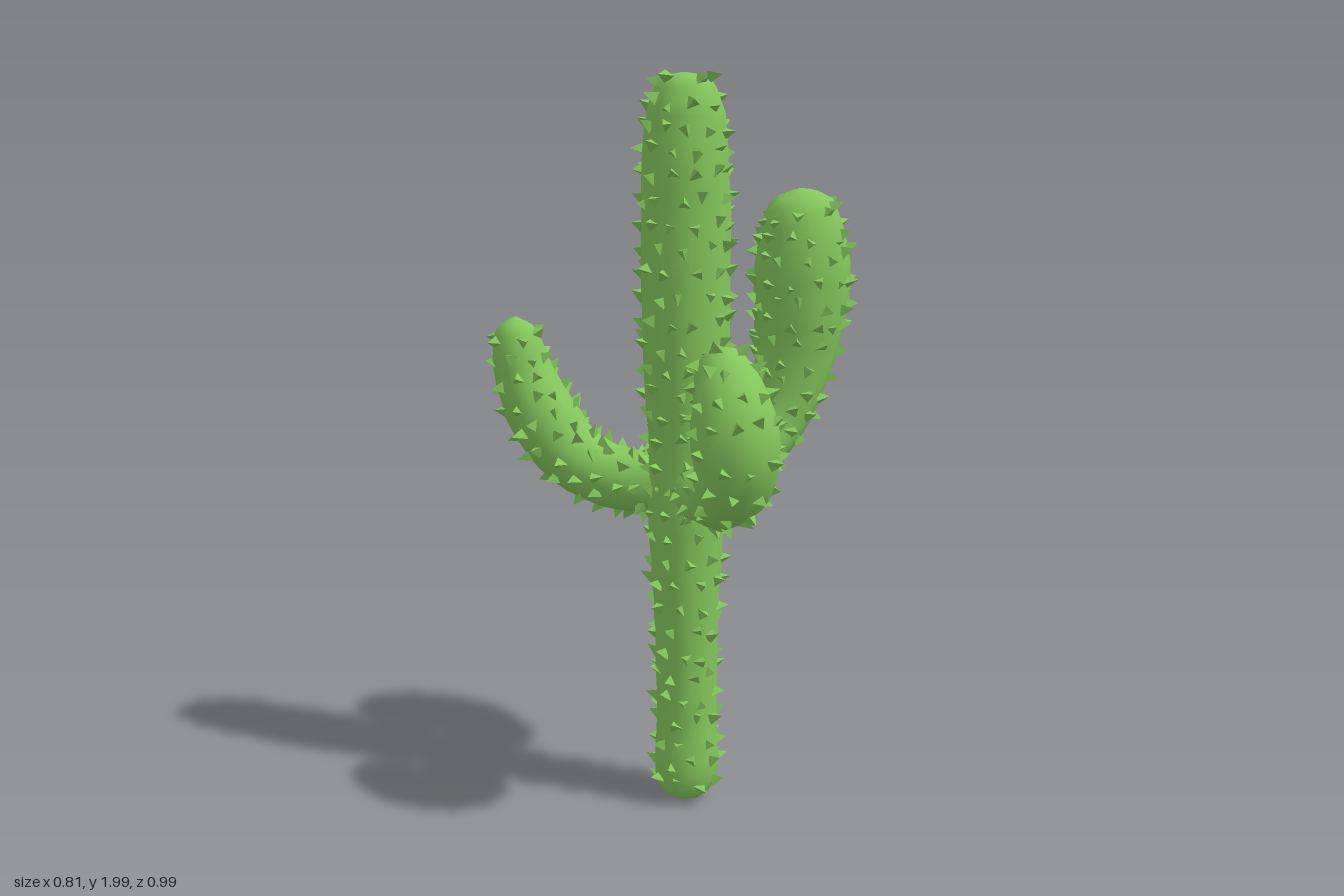
import * as THREE from 'three';
import { mergeGeometries } from 'three/addons/utils/BufferGeometryUtils.js';

const SIDES = 14;

// small seeded random generator, -1..1
let seed = 7;
function rand() {
  seed = (seed * 16807) % 2147483647;
  return (seed / 2147483647) * 2 - 1;
}

// Each limb is a list of [x, y, z, radius] stations along its centre line
const LIMBS = {
  trunk: [
    [-0.08, 0.012, 0.03, 0.02], [-0.08, 0.03, 0.03, 0.065], [-0.08, 0.1, 0.03, 0.088], [-0.08, 0.22, 0.03, 0.083],
    [-0.08, 0.4, 0.03, 0.083], [-0.08, 0.6, 0.03, 0.09], [-0.08, 0.8, 0.03, 0.1], [-0.08, 1.0, 0.03, 0.1],
    [-0.08, 1.2, 0.03, 0.11], [-0.08, 1.45, 0.03, 0.117], [-0.08, 1.7, 0.03, 0.115], [-0.08, 1.86, 0.03, 0.105],
    [-0.08, 1.94, 0.03, 0.088], [-0.08, 1.985, 0.03, 0.058], [-0.08, 1.998, 0.03, 0.004],
  ],
  leftArm: [
    [-0.1, 0.97, 0.04, 0.05], [0.0, 0.97, 0.07, 0.075], [0.1, 1.0, 0.1, 0.08], [0.18, 1.09, 0.115, 0.087],
    [0.225, 1.22, 0.125, 0.105], [0.245, 1.36, 0.13, 0.125], [0.245, 1.5, 0.135, 0.128], [0.235, 1.61, 0.14, 0.105],
    [0.225, 1.67, 0.14, 0.07], [0.22, 1.695, 0.14, 0.004],
  ],
  frontArm: [
    [-0.08, 0.95, 0.02, 0.05], [-0.11, 0.92, 0.13, 0.075], [-0.14, 0.93, 0.23, 0.083], [-0.175, 1.0, 0.32, 0.1],
    [-0.19, 1.1, 0.35, 0.11], [-0.18, 1.2, 0.32, 0.1], [-0.165, 1.275, 0.27, 0.072], [-0.155, 1.31, 0.245, 0.045],
    [-0.15, 1.33, 0.235, 0.004],
  ],
  backArm: [
    [-0.08, 0.94, 0.04, 0.05], [-0.13, 0.91, -0.06, 0.08], [-0.18, 0.92, -0.16, 0.085], [-0.235, 0.97, -0.26, 0.09],
    [-0.275, 1.07, -0.335, 0.095], [-0.3, 1.18, -0.385, 0.08], [-0.31, 1.26, -0.4, 0.07], [-0.315, 1.315, -0.405, 0.05],
    [-0.315, 1.345, -0.405, 0.004],
  ],
};

// Centre, radius and a twist-free frame at even steps along a limb
function sampleLimb(points, steps) {
  const path = new THREE.CatmullRomCurve3(points.map(p => new THREE.Vector3(p[0], p[1], p[2])), false, 'catmullrom');
  const radii = new THREE.CatmullRomCurve3(points.map(p => new THREE.Vector3(p[3], 0, 0)), false, 'catmullrom');
  const normal = new THREE.Vector3(0.31, 0.17, 0.93);
  const rings = [];
  for (let i = 0; i <= steps; i++) {
    const t = i / steps;
    const tangent = path.getTangent(t);
    normal.addScaledVector(tangent, -normal.dot(tangent)).normalize();
    rings.push({
      center: path.getPoint(t),
      radius: Math.max(0.003, radii.getPoint(t).x),
      tangent,
      normal: normal.clone(),
      binormal: tangent.clone().cross(normal),
    });
  }
  return rings;
}

function outward(ring, angle) {
  return ring.normal.clone().multiplyScalar(Math.cos(angle)).addScaledVector(ring.binormal, Math.sin(angle));
}

// Fleshy skin: rings of slightly uneven vertices
function skinGeometry(rings) {
  const position = [], index = [];
  rings.forEach((ring, i) => {
    for (let j = 0; j < SIDES; j++) {
      const rib = 1 + 0.035 * (j % 2 ? 1 : -1) + 0.03 * rand();
      const p = outward(ring, (j / SIDES) * Math.PI * 2).multiplyScalar(ring.radius * rib).add(ring.center);
      position.push(p.x, p.y, p.z);
      if (i === rings.length - 1) continue;
      const a = i * SIDES + j, b = i * SIDES + (j + 1) % SIDES;
      index.push(a, b, b + SIDES, a, b + SIDES, a + SIDES);
    }
  });
  const geo = new THREE.BufferGeometry();
  geo.setAttribute('position', new THREE.Float32BufferAttribute(position, 3));
  geo.setIndex(index);
  geo.computeVertexNormals();
  return geo;
}

// Short broad thorns, staggered from ring to ring and leaning to the tip
function thornGeometry(rings) {
  const thorns = [], up = new THREE.Vector3(0, 1, 0);
  let travelled = 0;
  for (let i = 1, row = 0; i < rings.length - 1; i++) {
    const ring = rings[i];
    travelled += ring.center.distanceTo(rings[i - 1].center);
    if (travelled < 0.055 || ring.radius < 0.03) continue;
    travelled = 0;
    row++;
    const count = Math.max(6, Math.round(ring.radius * 95));
    for (let j = 0; j < count; j++) {
      const dir = outward(ring, ((j + 0.5 * (row % 2) + 0.25 * rand()) / count) * Math.PI * 2);
      const base = dir.clone().multiplyScalar(ring.radius * 0.93).add(ring.center).addScaledVector(ring.tangent, 0.015 * rand());
      const lean = dir.clone().addScaledVector(ring.tangent, 0.3 + 0.25 * rand()).normalize();
      const size = 0.034 + 0.007 * rand();
      const cone = new THREE.ConeGeometry(0.021, size, 3, 1, true);
      cone.rotateY(rand() * Math.PI).translate(0, size / 2, 0);
      cone.applyQuaternion(new THREE.Quaternion().setFromUnitVectors(up, lean));
      cone.translate(base.x, base.y, base.z);
      thorns.push(cone);
    }
  }
  return mergeGeometries(thorns);
}

export function createModel() {
  seed = 7;
  const group = new THREE.Group();
  group.name = 'cactus';
  const skin = new THREE.MeshStandardMaterial({ color: 0x84c65c });
  const thorn = new THREE.MeshStandardMaterial({ color: 0x84c65c, flatShading: true });

  for (const [name, points] of Object.entries(LIMBS)) {
    const limb = new THREE.Group();
    limb.name = name;
    const body = new THREE.Mesh(skinGeometry(sampleLimb(points, (points.length - 1) * 3)), skin);
    body.name = name + 'Skin';
    const thorns = new THREE.Mesh(thornGeometry(sampleLimb(points, (points.length - 1) * 12)), thorn);
    thorns.name = name + 'Thorns';
    limb.add(body, thorns);
    group.add(limb);
  }
  return group;
}
